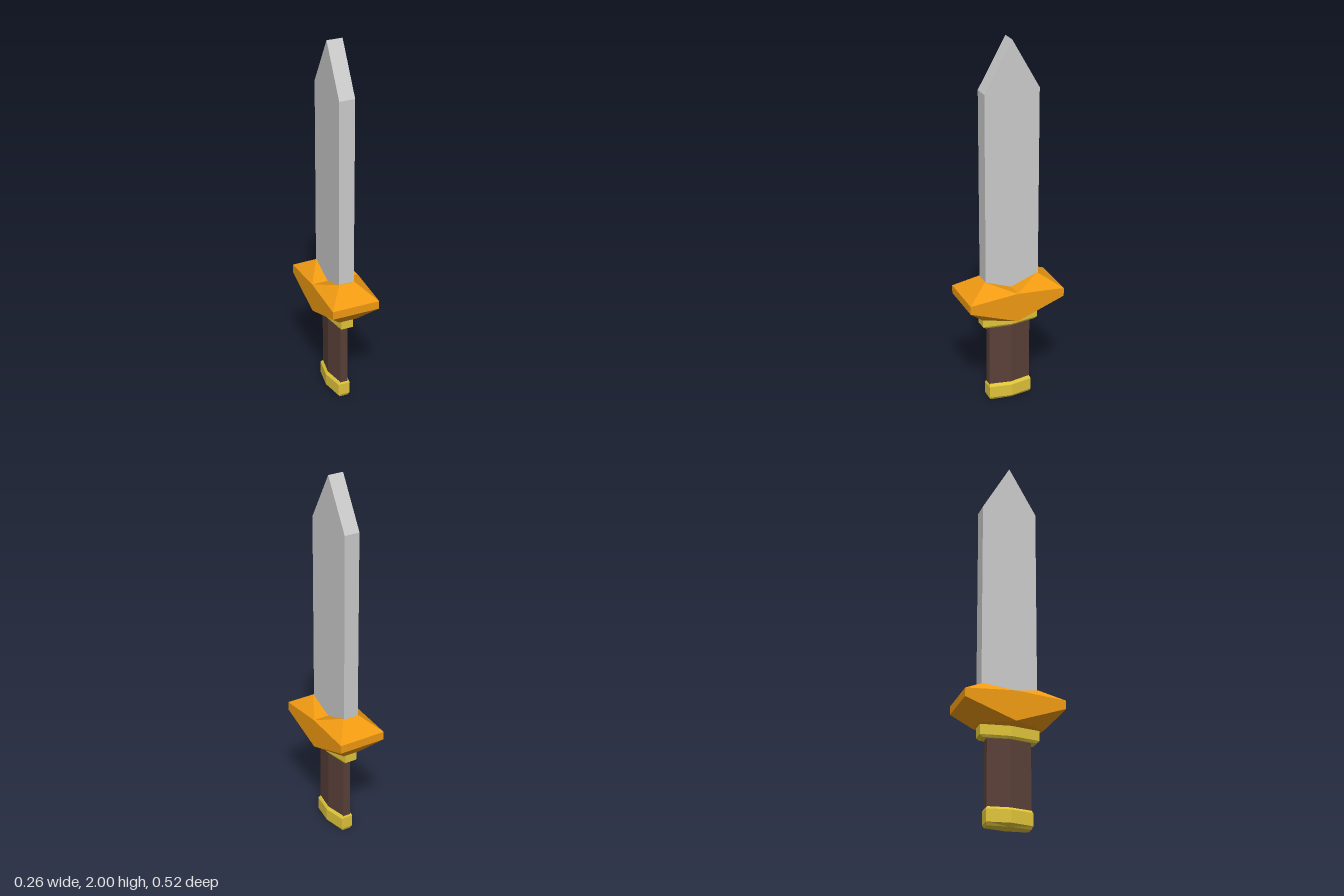
import * as THREE from 'three';

const mat = (color) => new THREE.MeshStandardMaterial({ color, flatShading: true });

// Lofts a six-sided body, mirrored in x and z. Each ring lists the corner
// (x, y, z) and the mid-side point (x, y) of one quadrant, from bottom to top.
function loft(name, rings, material) {
  const pos = [];
  for (const sx of [1, -1]) for (const sz of [1, -1]) {
    const pts = rings.map(([cx, cy, cz, mx, my]) => ({
      corner: [sx * cx, cy, sz * cz],
      mid: [sx * mx, my, 0],
      end: [0, cy, sz * cz],
      centre: [0, my, 0],
    }));
    const tri = (a, b, c) => pos.push(...a, ...(sx * sz > 0 ? [...b, ...c] : [...c, ...b]));
    for (let i = 0; i + 1 < pts.length; i++) {
      const a = pts[i], b = pts[i + 1];
      tri(a.mid, b.mid, b.corner);
      tri(a.mid, b.corner, a.corner);
      tri(a.corner, b.corner, b.end);
      tri(a.corner, b.end, a.end);
    }
    const top = pts[pts.length - 1], low = pts[0];
    tri(top.centre, top.end, top.corner);
    tri(top.centre, top.corner, top.mid);
    tri(low.centre, low.corner, low.end);
    tri(low.centre, low.mid, low.corner);
  }
  const geo = new THREE.BufferGeometry();
  geo.setAttribute('position', new THREE.Float32BufferAttribute(pos, 3));
  geo.computeVertexNormals();
  const mesh = new THREE.Mesh(geo, material);
  mesh.name = name;
  return mesh;
}

export function createModel() {
  const model = new THREE.Group();
  model.name = 'dagger';
  const steel = mat(0xcccccc);
  const orange = mat(0xf09a12);
  const gold = mat(0xe0c43a);
  const leather = mat(0x5a4038);

  // Blade: pointed outline in the z-y plane, extruded across x
  const outline = new THREE.Shape([
    [-0.147, 0.6], [0.147, 0.6], [0.147, 1.74], [0, 2], [-0.147, 1.74],
  ].map(([z, y]) => new THREE.Vector2(z, y)));
  const bladeGeo = new THREE.ExtrudeGeometry(outline, { depth: 0.084, bevelEnabled: false });
  bladeGeo.translate(0, 0, -0.042).rotateY(Math.PI / 2);
  const blade = new THREE.Mesh(bladeGeo, steel);
  blade.name = 'blade';
  blade.position.z = -0.005;
  model.add(blade);

  // Guard: faceted block whose top dips beside the blade
  model.add(loft('guard', [
    [0.05, 0.51, 0.165, 0.13, 0.51],
    [0.13, 0.605, 0.262, 0.13, 0.51],
    [0.13, 0.65, 0.262, 0.13, 0.67],
    [0.042, 0.725, 0.147, 0.042, 0.67],
  ], orange));

  // Level rings for the handle parts: [y, end half width, half depth, middle half width]
  const level = (rows) => rows.map(([y, cx, cz, mx]) => [cx, y, cz, mx, y]);

  model.add(loft('collar', level([
    [0.445, 0.028, 0.14, 0.048],
    [0.457, 0.033, 0.155, 0.056],
    [0.515, 0.033, 0.155, 0.056],
  ]), gold));

  model.add(loft('grip', level([
    [0.08, 0.021, 0.115, 0.042],
    [0.46, 0.021, 0.115, 0.042],
  ]), leather));

  model.add(loft('pommel', level([
    [0, 0.024, 0.113, 0.04],
    [0.016, 0.033, 0.12, 0.054],
    [0.082, 0.033, 0.12, 0.054],
    [0.096, 0.024, 0.113, 0.042],
  ]), gold));

  return model;
}
